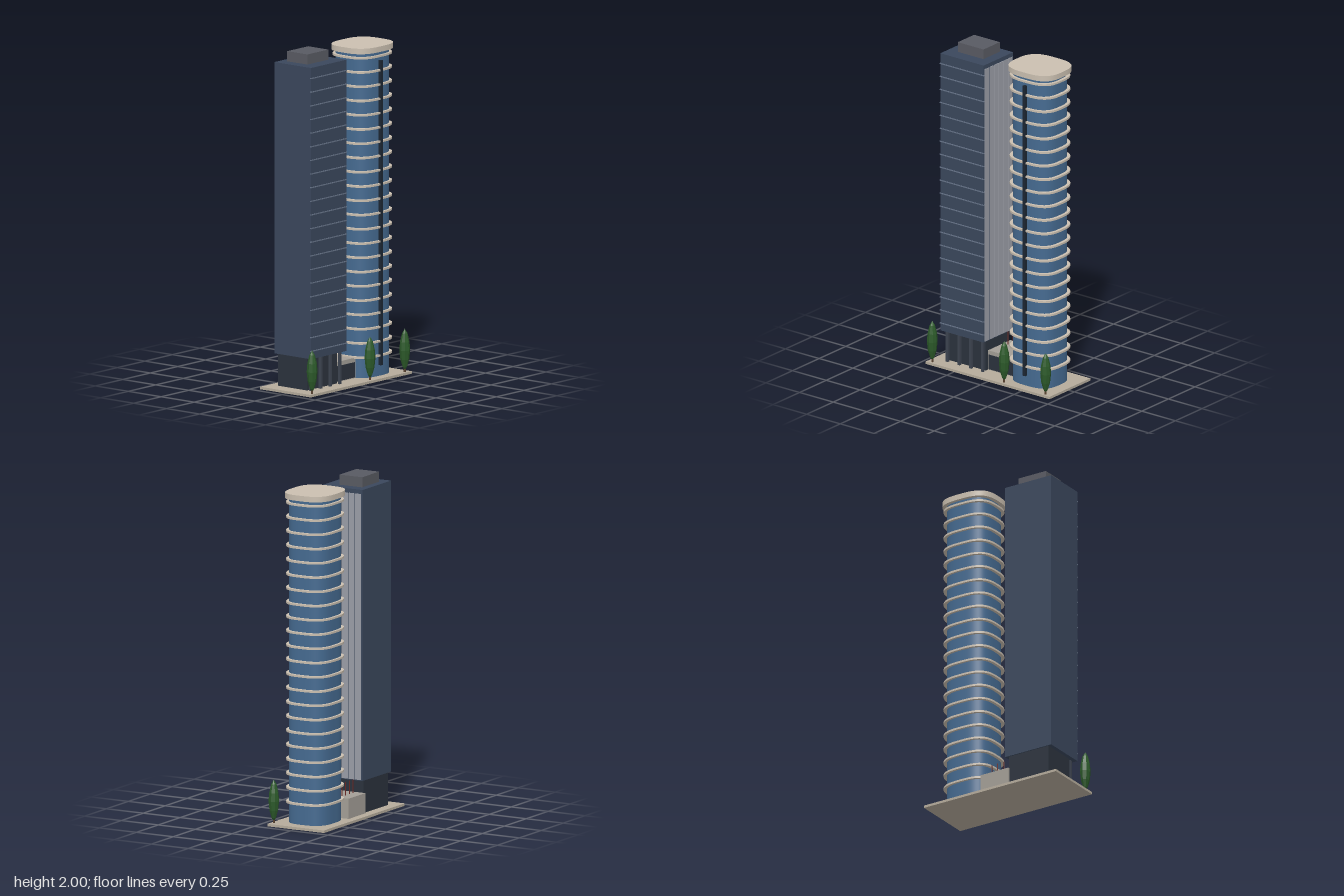
import * as THREE from 'three';
import { toCreasedNormals } from 'three/addons/utils/BufferGeometryUtils.js';

const mat = (color, extra = {}) => new THREE.MeshStandardMaterial({ color, ...extra });
const M = {
  paving: mat(0xb5ab9b), darkTower: mat(0x3a475c), line: mat(0x667388), rib: mat(0x9a9da6),
  plant: mat(0x585a62), darkGlass: mat(0x2b323d), column: mat(0x3d4450), link: mat(0xa39e96),
  glass: mat(0x456a90), slab: mat(0xcabfb0), fin: mat(0x1c2632), mast: mat(0x6b2622),
  leaf: mat(0x2c5a2a, { flatShading: true }), trunk: mat(0x5a4330),
};

export function createModel() {
  const model = new THREE.Group();

  const add = (name, geo, material, x = 0, y = 0, z = 0, parent = model) => {
    const mesh = new THREE.Mesh(geo, material);
    mesh.name = name;
    mesh.position.set(x, y, z);
    parent.add(mesh);
    return mesh;
  };
  // box given by its limits on each axis
  const box = (name, material, [x0, x1], [y0, y1], [z0, z1], parent) =>
    add(name, new THREE.BoxGeometry(x1 - x0, y1 - y0, z1 - z0), material,
      (x0 + x1) / 2, (y0 + y1) / 2, (z0 + z1) / 2, parent);
  const group = (name) => {
    const g = new THREE.Group();
    g.name = name;
    model.add(g);
    return g;
  };
  // upright prism whose plan is a rounded-square superellipse
  const roundedPrism = (rx, rz, h) => {
    const geo = new THREE.CylinderGeometry(1, 1, h, 64);
    const p = geo.attributes.position, n = 3;
    for (let i = 0; i < p.count; i++) {
      const x = p.getX(i), z = p.getZ(i);
      const s = Math.pow(Math.abs(x) ** n + Math.abs(z) ** n, -1 / n);
      if (Math.hypot(x, z) > 0.5) p.setXYZ(i, x * s * rx, p.getY(i), z * s * rz);
    }
    return toCreasedNormals(geo, 0.6);
  };

  box('plaza', M.paving, [-0.46, 0.46], [0, 0.015], [-0.2, 0.183]);

  // rectangular tower on a recessed lobby
  const dark = group('rectangularTower');
  box('lobby', M.darkGlass, [-0.37, -0.095], [0.015, 0.21], [-0.14, 0.08], dark);
  box('towerBody', M.darkTower, [-0.393, -0.071], [0.21, 1.94], [-0.147, 0.13], dark);
  box('roofPlant', M.plant, [-0.328, -0.137], [1.94, 2], [-0.105, 0.048], dark);
  for (let i = 0; i < 4; i++) {
    const x = -0.36 + i * 0.087;
    box('lobbyColumn', M.column, [x - 0.008, x + 0.008], [0.015, 0.21], [0.095, 0.111], dark);
  }
  for (let i = 0; i < 21; i++) {
    const y = 0.257 + i * 0.081;
    box('floorLine', M.line, [-0.395, -0.07], [y - 0.003, y + 0.003], [0.125, 0.133], dark);
  }
  // pale vertical panels on the side facing the other tower
  for (let i = 0; i < 6; i++) {
    const z = -0.137 + i * 0.044;
    box('sidePanel', M.rib, [-0.08, -0.067], [0.215, 1.915], [z, z + 0.038], dark);
  }

  // low link building with masts on its roof
  const link = group('linkBuilding');
  box('linkBody', M.link, [-0.097, 0.097], [0.015, 0.135], [-0.152, 0.058], link);
  box('linkGlass', M.darkGlass, [-0.09, 0.09], [0.02, 0.11], [0.05, 0.062], link);
  for (const x of [-0.062, -0.025, 0.022, 0.062])
    add('mast', new THREE.CylinderGeometry(0.003, 0.003, 0.08, 8), M.mast, x, 0.175, -0.086, link);

  // rounded glass tower with projecting floor slabs
  const round = group('roundedTower');
  round.position.set(0.238, 0, -0.008);
  add('glassBody', roundedPrism(0.148, 0.132, 1.935), M.glass, 0, 0.9825, 0, round);
  const slabGeo = roundedPrism(0.166, 0.146, 0.012);
  for (let i = 0; i < 22; i++) add('floorSlab', slabGeo, M.slab, 0, 0.138 + i * 0.0847, 0, round);
  add('roofCap', roundedPrism(0.172, 0.152, 0.033), M.slab, 0, 1.9595, 0, round);
  box('frontFin', M.fin, [-0.011, 0.009], [0.08, 1.89], [0.125, 0.151], round);

  // slender trees
  const crown = new THREE.LatheGeometry(
    [[0, 0.025], [0.013, 0.045], [0.026, 0.09], [0.032, 0.145], [0.028, 0.195], [0.016, 0.245], [0, 0.272]]
      .map(([r, y]) => new THREE.Vector2(r, y)), 8);
  for (const [x, z] of [[-0.425, 0.165], [0.106, 0.161], [0.417, 0.165]]) {
    const tree = group('tree');
    tree.position.set(x, 0, z);
    add('crown', crown, M.leaf, 0, 0, 0, tree);
    add('trunk', new THREE.CylinderGeometry(0.006, 0.006, 0.04, 8), M.trunk, 0, 0.03, 0, tree);
  }
  return model;
}
